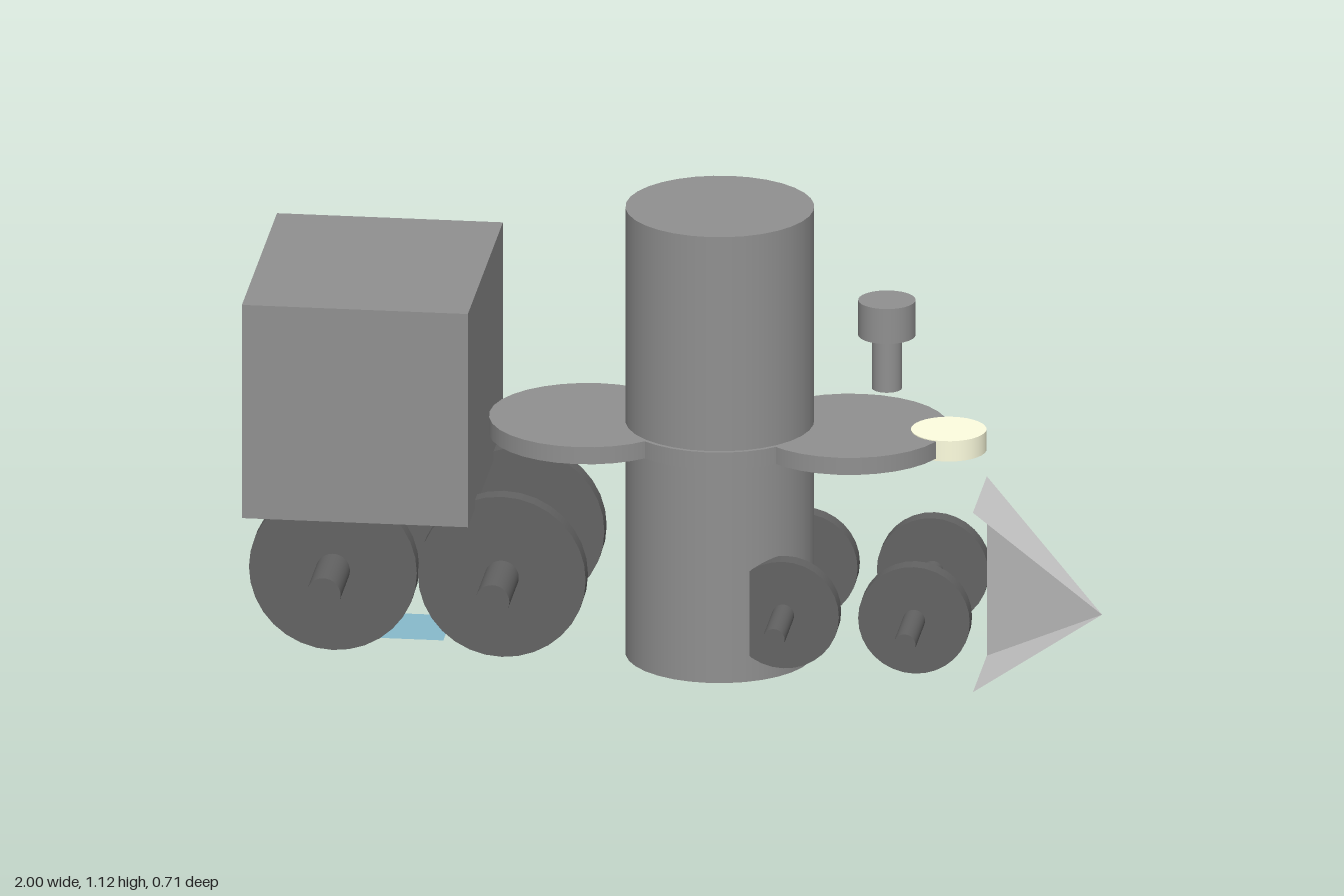
import * as THREE from 'three';

const MID_Z = -0.022;
const mat = (color, side = THREE.FrontSide) => new THREE.MeshStandardMaterial({ color, side });

export function createModel() {
  const model = new THREE.Group();
  const body = mat(0x909090);
  const dark = mat(0x636363);
  const cream = mat(0xffffe0);
  const steel = mat(0xcccccc, THREE.DoubleSide);
  const glass = mat(0x88bbcc, THREE.DoubleSide);

  function add(name, geometry, material, x, y, z = MID_Z, parent = model) {
    const mesh = new THREE.Mesh(geometry, material);
    mesh.name = name;
    mesh.position.set(x, y, z);
    parent.add(mesh);
    return mesh;
  }

  // upright cylinder between two heights
  function drum(name, material, x, r, y0, y1) {
    return add(name, new THREE.CylinderGeometry(r, r, y1 - y0, 32), material, x, (y0 + y1) / 2);
  }

  // cylinder lying along z between two depths
  function rod(name, parent, x, y, r, z0, z1) {
    const g = new THREE.CylinderGeometry(r, r, z1 - z0, 32).rotateX(Math.PI / 2);
    return add(name, g, dark, x, y, (z0 + z1) / 2, parent);
  }

  // cab, upright boiler and the flat rings along it
  add('cab', new THREE.BoxGeometry(0.53, 0.525, 0.66), body, -0.735, 0.687);
  drum('boiler', body, 0.08, 0.22, 0.027, 1.125);
  for (const x of [-0.23, 0.08, 0.385]) drum('boilerRing', body, x, 0.23, 0.556, 0.598);

  // chimney and headlight
  drum('chimneyStem', body, 0.472, 0.035, 0.695, 0.826);
  drum('chimneyCap', body, 0.472, 0.067, 0.826, 0.912);
  drum('headlight', cream, 0.617, 0.088, 0.55, 0.6);

  // wheel sets: a pair of wheels on an axle that sticks out at the front
  const sets = [
    ['rearWheelSet', -0.803, 0.26, 0.197, 0.04],
    ['middleWheelSet', -0.407, 0.26, 0.197, 0.04],
    ['frontWheelSet', 0.253, 0.194, 0.131, 0.026],
    ['leadWheelSet', 0.56, 0.194, 0.131, 0.026],
  ];
  for (const [name, x, y, r, axleR] of sets) {
    const set = new THREE.Group();
    set.name = name;
    rod('wheel', set, x, y, r, 0.132, 0.176);
    rod('wheel', set, x, y, r, -0.22, -0.176);
    rod('axle', set, x, y, axleR, -0.2, 0.353);
    model.add(set);
  }

  // cowcatcher: top, side and bottom triangles fanned around a skewed tip
  const tip = [1, 0.223, 0.165];
  const rim = [[0.69, 0.442, 0.11], [0.69, 0.442, -0.153], [0.69, 0, -0.153], [0.69, 0, 0.11]];
  const corners = [];
  for (let i = 0; i < 3; i++) corners.push(...tip, ...rim[i + 1], ...rim[i]);
  const fan = new THREE.BufferGeometry();
  fan.setAttribute('position', new THREE.Float32BufferAttribute(corners, 3));
  fan.computeVertexNormals();
  add('cowcatcher', fan, steel, 0, 0, 0);

  // flat glass pane lying beneath the cab
  add('windowPane', new THREE.PlaneGeometry(0.355, 0.18).rotateX(-Math.PI / 2), glass, -0.735, 0.06);

  return model;
}
